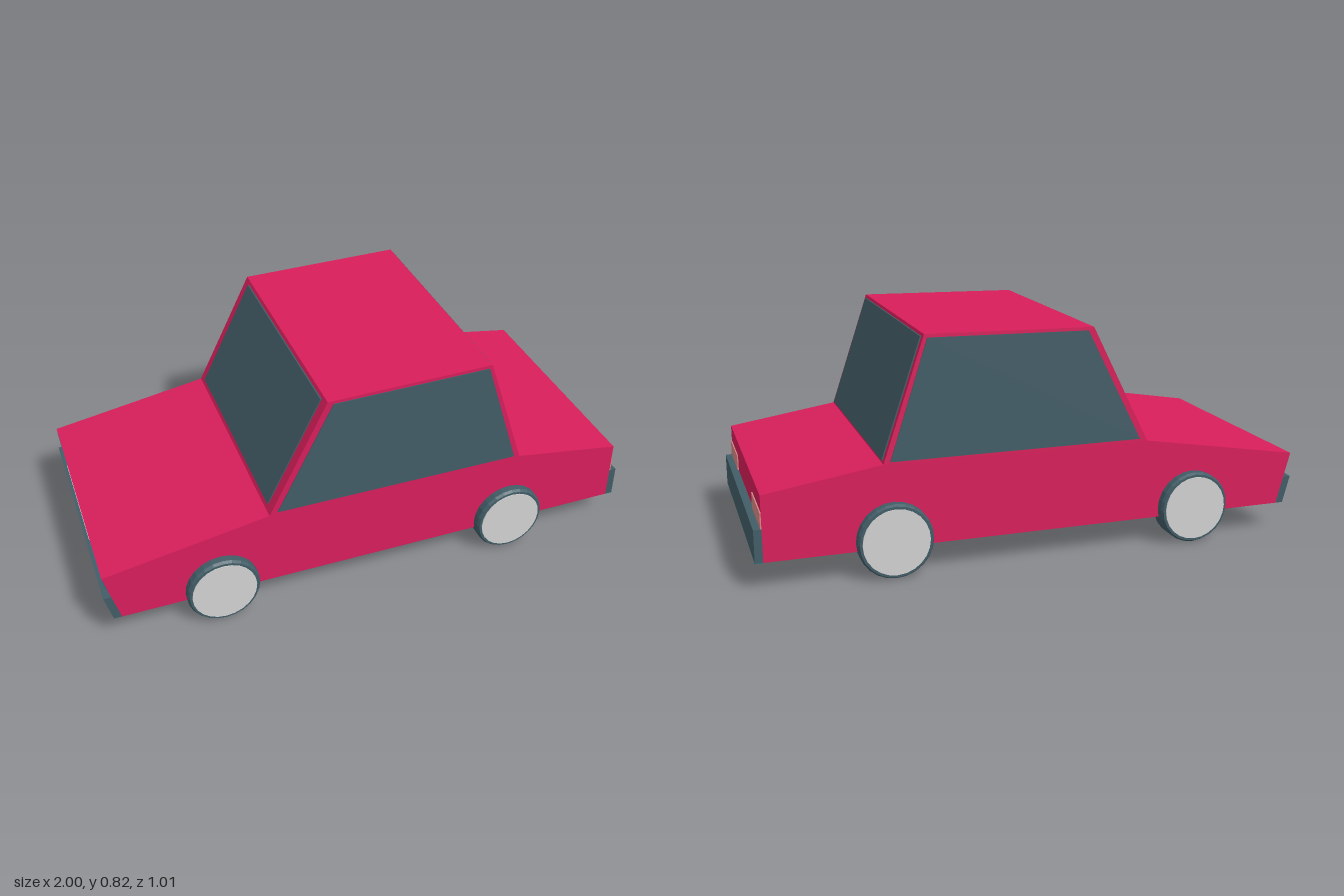
import * as THREE from 'three';

const material = (name, color) => {
  const m = new THREE.MeshStandardMaterial({ color });
  m.name = name;
  return m;
};

export function createModel() {
  const paint = material('red paint', 0xd81e5b);
  const dark = material('dark slate', 0x425d67);
  const silver = material('silver', 0xd2d2d2);
  const pink = material('tail light pink', 0xd98884);
  const teal = material('teal', 0x087987);

  const model = new THREE.Group();
  model.name = 'car';
  const car = new THREE.Group();
  car.name = 'carBody';
  car.rotation.y = 0.0244; // the car stands slightly turned
  car.position.z = -0.005;
  model.add(car);

  const W = 0.449; // half width
  const add = (name, geometry, mat) => {
    const mesh = new THREE.Mesh(geometry, mat);
    mesh.name = name;
    car.add(mesh);
    return mesh;
  };

  // Side profile [x, y] extruded across the car from z0 to z1
  const prism = (name, points, z0, z1, mat) => {
    const shape = new THREE.Shape(points.map(([x, y]) => new THREE.Vector2(x, y)));
    const geometry = new THREE.ExtrudeGeometry(shape, { depth: z1 - z0, bevelEnabled: false });
    geometry.translate(0, 0, z0);
    return add(name, geometry, mat);
  };

  // Plate lying on the sloped edge a-b between heights y0 and y1;
  // t is its thickness along x, signed towards the outside
  const plate = (name, a, b, y0, y1, t, z0, z1, mat) => {
    const at = y => a[0] + (b[0] - a[0]) * (y - a[1]) / (b[1] - a[1]);
    return prism(name, [[at(y0), y0], [at(y0) + t, y0], [at(y1) + t, y1], [at(y1), y1]], z0, z1, mat);
  };

  // Corners of the side profile
  const noseLow = [-0.935, 0.1], noseTop = [-0.985, 0.29];
  const screenLow = [-0.397, 0.39], screenTop = [-0.185, 0.81];
  const rearTop = [0.41, 0.82], rearLow = [0.555, 0.393];
  const tailTop = [0.96, 0.33], tailLow = [0.96, 0.1];
  prism('body', [noseLow, tailLow, tailTop, rearLow, rearTop, screenTop, screenLow, noseTop], -W, W, paint);

  // Glass
  plate('windscreen', screenLow, screenTop, 0.41, 0.798, -0.005, -0.408, 0.408, dark);
  plate('rearWindow', rearLow, rearTop, 0.402, 0.81, 0.005, -0.427, 0.427, dark);
  const sideGlass = [[-0.368, 0.4], [0.532, 0.4], [0.4, 0.808], [-0.165, 0.799]];
  prism('leftSideWindow', sideGlass, W, W + 0.003, dark);
  prism('rightSideWindow', sideGlass, -W - 0.003, -W, dark);

  // Bumpers
  plate('frontBumper', noseLow, noseTop, 0.1, 0.2, -0.028, -W, W, dark);
  plate('rearBumper', tailLow, tailTop, 0.102, 0.215, 0.027, -W, W, dark);
  plate('rearBumperUnderside', tailLow, tailTop, 0.1, 0.102, 0.027, -W, W, teal);

  // Grille and lights
  plate('grille', noseLow, noseTop, 0.2, 0.275, -0.004, -0.222, 0.222, silver);
  for (const [z0, z1] of [[-0.44, -0.225], [0.225, 0.44]]) {
    plate('headlight', noseLow, noseTop, 0.23, 0.275, -0.004, z0, z1, teal);
  }
  for (const [z0, z1] of [[-W, -0.225], [0.225, W]]) {
    plate('tailLight', tailLow, tailTop, 0.215, 0.272, 0.004, z0, z1, pink);
  }

  // Wheels: faceted tyre with a chamfered outer edge and a flat hubcap
  const tyreProfile = [[0, 0.413], [0.131, 0.413], [0.131, 0.474], [0.125, 0.484], [0, 0.484]]
    .map(([r, h]) => new THREE.Vector2(r, h));
  for (const x of [-0.579, 0.524]) {
    for (const side of [1, -1]) {
      const tyre = new THREE.LatheGeometry(tyreProfile, 24).toNonIndexed();
      tyre.computeVertexNormals();
      const hub = new THREE.CylinderGeometry(0.116, 0.116, 0.008, 24);
      hub.translate(0, 0.483, 0);
      for (const g of [tyre, hub]) {
        g.rotateX(side * Math.PI / 2);
        g.translate(x, 0.131, 0);
      }
      const label = x < 0 ? 'front' : 'rear';
      add(label + 'Tyre', tyre, dark);
      add(label + 'Hubcap', hub, silver);
    }
  }

  return model;
}
